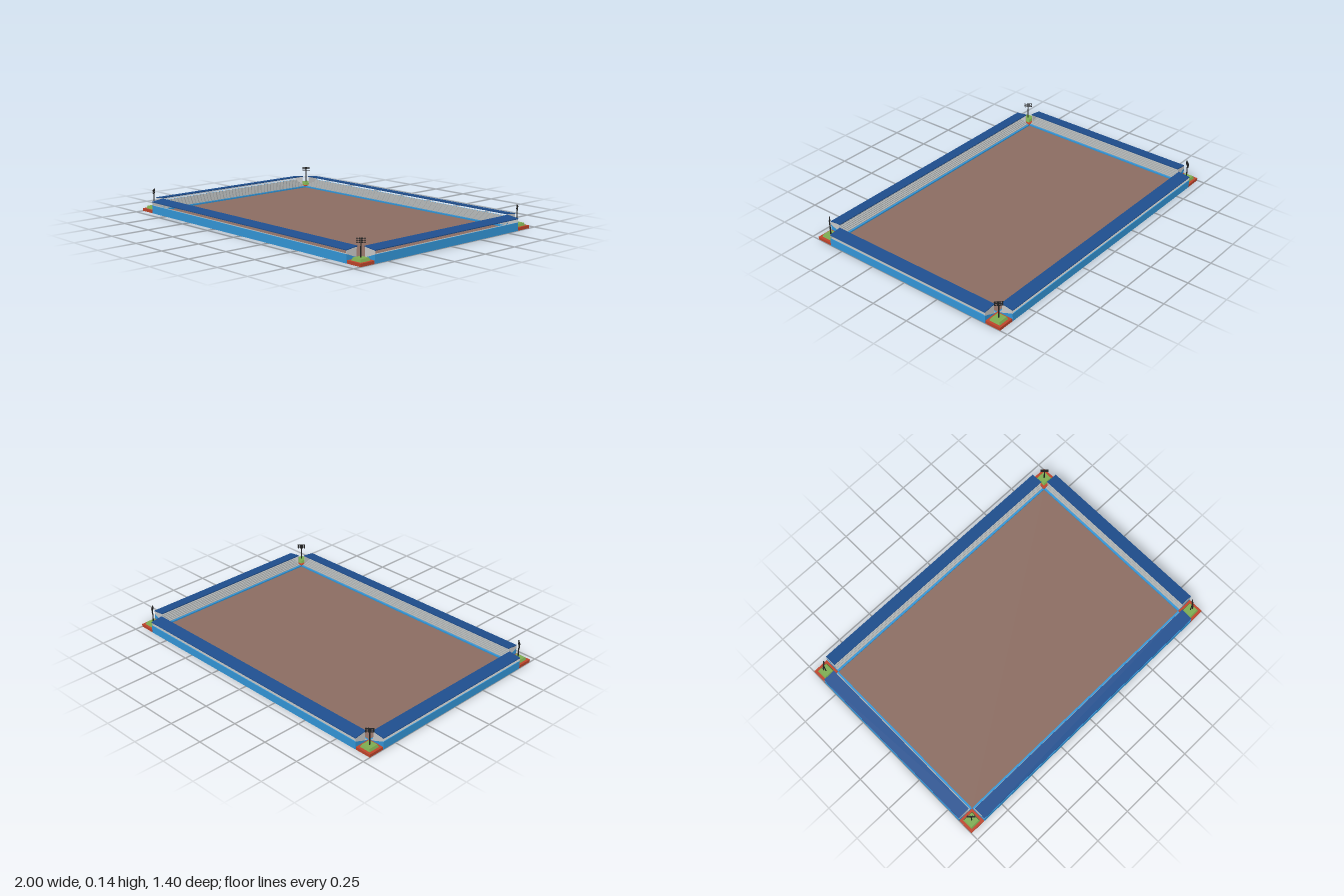
import * as THREE from 'three';

const mat = (color, side = THREE.FrontSide) =>
  new THREE.MeshStandardMaterial({ color, side, flatShading: true });
const M = {
  field: mat(0x8d6e63), blue: mat(0x3498db), roof: mat(0x1f4f8f), seat: mat(0xb0b4b4),
  panel: mat(0xe8e8e8, THREE.DoubleSide), red: mat(0xc0452b), grass: mat(0x7fae52), black: mat(0x222222),
};

const DEPTH = 0.105, CURB = 0.015, TOP = 0.05, STEPS = 8, LEDGE = 0.012;

function add(parent, name, geo, material, x = 0, y = 0, z = 0) {
  const m = new THREE.Mesh(geo, material);
  m.name = name;
  m.position.set(x, y, z);
  parent.add(m);
  return m;
}

// Profile in (outward, up), extruded along z and centred
function extrude(points, length) {
  const shape = new THREE.Shape(points.map(([x, y]) => new THREE.Vector2(x, y)));
  return new THREE.ExtrudeGeometry(shape, { depth: length, bevelEnabled: false }).translate(0, 0, -length / 2);
}

// One side of the arena: blue body, stepped seating, end panels and sloping roof
function createStand(length) {
  const g = new THREE.Group();
  const backWall = DEPTH - 0.004;
  add(g, 'standBody', extrude([
    [0, 0], [DEPTH, 0], [DEPTH, TOP], [backWall, TOP], [LEDGE, CURB], [0, CURB],
  ], length), M.blue);

  // Seating rows rise from the front ledge to the back wall
  const run = (backWall - LEDGE) / STEPS, rise = (TOP - CURB) / STEPS;
  const rows = [[LEDGE, CURB - 0.002]];
  rows.push([backWall, TOP - 0.002]);
  for (let i = STEPS; i > 0; i--) {
    rows.push([LEDGE + run * i, CURB + rise * i], [LEDGE + run * (i - 1), CURB + rise * i]);
  }
  add(g, 'seatRows', extrude(rows, length - 0.004), M.seat);

  // Thin end panels carry the roof
  for (const s of [-1, 1]) {
    add(g, 'endPanel', extrude([
      [0.03, 0.022], [DEPTH - 0.001, TOP], [DEPTH - 0.001, 0.071], [0.03, 0.08],
    ], 0.003), M.panel, 0, 0, s * (length / 2 - 0.0015));
  }
  add(g, 'roof', extrude([
    [0.025, 0.079], [DEPTH, 0.07], [DEPTH, 0.075], [0.025, 0.085],
  ], length), M.roof);
  return g;
}

// Corner block with a planted mound and a floodlight mast
function createCorner() {
  const g = new THREE.Group();
  add(g, 'cornerBase', new THREE.BoxGeometry(0.103, 0.018, 0.103), M.red, 0, 0.009, 0);
  const mound = new THREE.CylinderGeometry(0.03 * Math.SQRT2, 0.036 * Math.SQRT2, 0.016, 4).rotateY(Math.PI / 4);
  add(g, 'grassMound', mound, M.grass, 0, 0.026, 0);
  add(g, 'mast', new THREE.CylinderGeometry(0.003, 0.004, 0.108, 8), M.black, 0, 0.086, 0);
  for (const y of [0.116, 0.127, 0.137]) {
    add(g, 'lampBar', new THREE.BoxGeometry(0.052, 0.003, 0.004), M.black, 0, y, 0).rotation.y = Math.PI / 4;
    for (const t of [-0.015, -0.005, 0.005, 0.015]) {
      add(g, 'lamp', new THREE.BoxGeometry(0.006, 0.006, 0.006), M.black, t, y, -t).rotation.y = Math.PI / 4;
    }
  }
  return g;
}

export function createModel() {
  const model = new THREE.Group();
  model.name = 'arena';
  add(model, 'field', new THREE.BoxGeometry(1.79, 0.006, 1.19), M.field, 0, 0.003, 0);

  // Four stands, facing inward
  const sides = [
    ['leftStand', 0, 0.895, 0, 1.19], ['rightStand', Math.PI, -0.895, 0, 1.19],
    ['frontStand', -Math.PI / 2, 0, 0.595, 1.786], ['backStand', Math.PI / 2, 0, -0.595, 1.786],
  ];
  for (const [name, angle, x, z, length] of sides) {
    const stand = createStand(length);
    stand.name = name;
    stand.rotation.y = angle;
    stand.position.set(x, 0, z);
    model.add(stand);
  }

  // Four corners, lamp bars turned across the diagonal
  for (const sx of [-1, 1]) for (const sz of [-1, 1]) {
    const corner = createCorner();
    corner.name = 'cornerLight';
    corner.position.set(sx * 0.9475, 0, sz * 0.6475);
    corner.rotation.y = sx * sz > 0 ? 0 : Math.PI / 2;
    model.add(corner);
  }
  return model;
}
